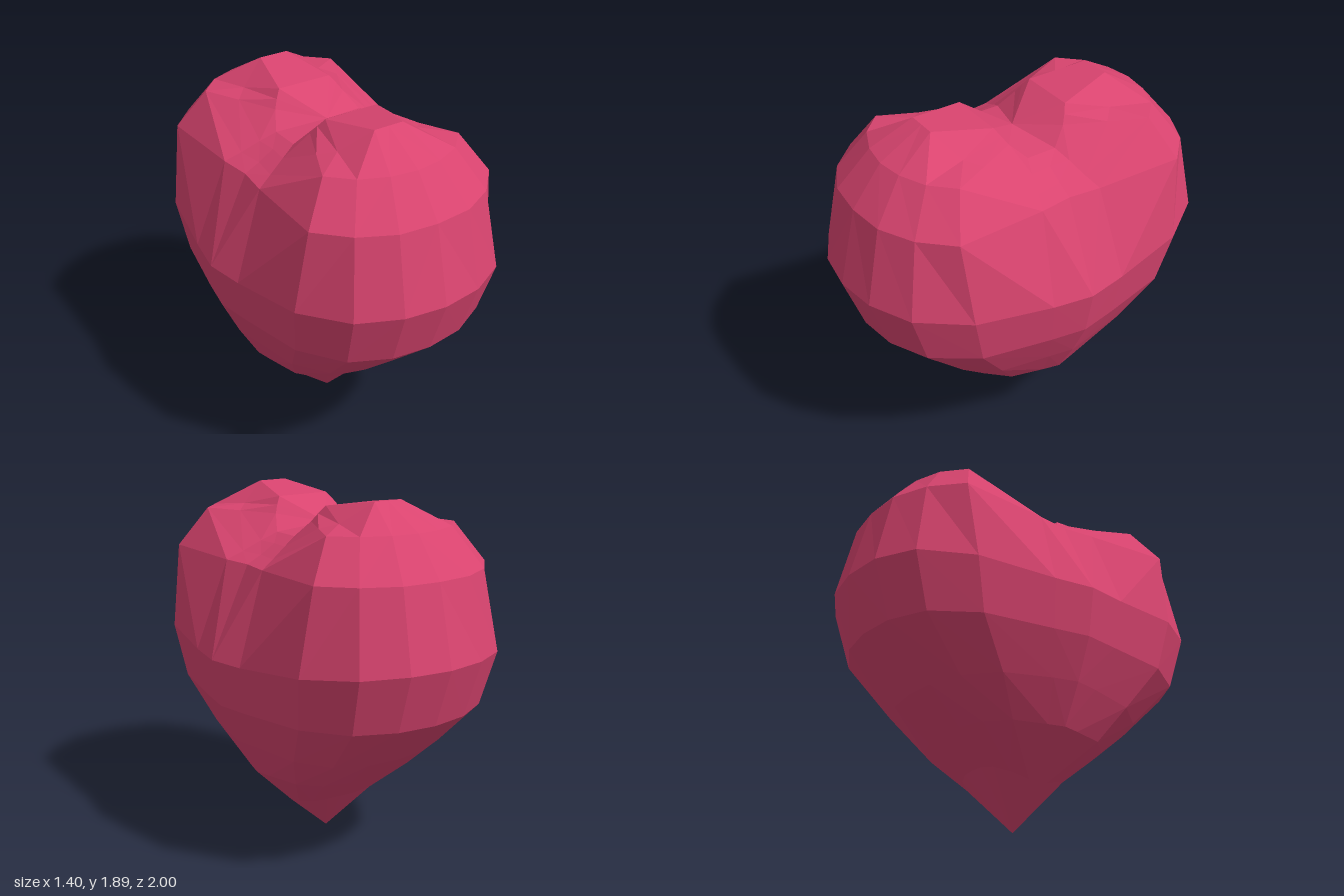
import * as THREE from 'three';

// One quarter of the widest outline, from front centre to side, as fractions of x and z.
const QUARTER = [[0, 1], [0.31, 0.97], [0.61, 0.86], [0.84, 0.61], [0.95, 0.21], [1, 0]];
// How far each column's height moves from the front height to the side height.
const HEIGHT_MIX = [0, 0, 0.15, 0.5, 0.95, 1];

// Body rings: half width x, side height, half length z, front height.
const BODY = [
  [0.23, 0.21, 0.25, 0.28],
  [0.45, 0.43, 0.43, 0.43],
  [0.56, 0.63, 0.63, 0.6],
  [0.655, 0.84, 0.9, 0.86],
  [0.7, 1.09, 1.0, 1.16],
];

// Crown rings: quarter points [x, y, z] that rise into two lobes and dip in the cleft.
const CROWN = [
  [[0, 1.56, 0.9], [0.2, 1.56, 0.88], [0.38, 1.56, 0.79], [0.525, 1.56, 0.64], [0.5, 1.55, 0.17], [0.48, 1.55, 0]],
  [[0, 1.76, 0.74], [0.14, 1.76, 0.72], [0.28, 1.76, 0.66], [0.39, 1.76, 0.55], [0.42, 1.59, 0.14], [0.4, 1.59, 0]],
  [[0, 1.887, 0.51], [0.08, 1.887, 0.51], [0.23, 1.785, 0.43], [0.3, 1.76, 0.36], [0.33, 1.64, 0.11], [0.32, 1.64, 0]],
  [[0, 1.84, 0.21], [0.15, 1.84, 0.21], [0.18, 1.8, 0.185], [0.205, 1.76, 0.16], [0.25, 1.68, 0.08], [0.25, 1.68, 0]],
];

// Mirror a quarter into a closed ring of 20 points.
function fullRing(quarter) {
  const ring = [];
  for (let k = 0; k < 20; k++) {
    const q = Math.floor(k / 5);
    const [x, y, z] = quarter[q % 2 ? 5 - (k % 5) : k % 5];
    ring.push([q < 2 ? x : -x, y, q === 0 || q === 3 ? z : -z]);
  }
  return ring;
}

function heartGeometry() {
  const body = BODY.map(([w, sideY, l, frontY]) =>
    QUARTER.map(([x, z], j) => [x * w, THREE.MathUtils.lerp(frontY, sideY, HEIGHT_MIX[j]), z * l]));
  const rings = [...body, ...CROWN].map(fullRing);
  const tip = [0, 0, 0];
  const cleft = [0, 1.72, 0];
  const pos = [];
  const tri = (a, b, c) => pos.push(...a, ...b, ...c);

  for (let k = 0; k < 20; k++) {
    const n = (k + 1) % 20;
    tri(tip, rings[0][n], rings[0][k]);
    for (let i = 0; i < rings.length - 1; i++) {
      const a = rings[i][k], b = rings[i][n], c = rings[i + 1][n], d = rings[i + 1][k];
      // Diagonals are mirrored from quarter to quarter
      if (Math.floor(k / 5) % 2) { tri(a, b, c); tri(a, c, d); }
      else { tri(a, b, d); tri(b, c, d); }
    }
    const top = rings[rings.length - 1];
    tri(top[k], top[n], cleft);
  }
  const geo = new THREE.BufferGeometry();
  geo.setAttribute('position', new THREE.Float32BufferAttribute(pos, 3));
  geo.computeVertexNormals();
  return geo;
}

export function createModel() {
  const group = new THREE.Group();
  group.name = 'heartModel';
  const material = new THREE.MeshStandardMaterial({ color: 0xd9446f, flatShading: true });
  const heart = new THREE.Mesh(heartGeometry(), material);
  heart.name = 'heart';
  group.add(heart);
  return group;
}
